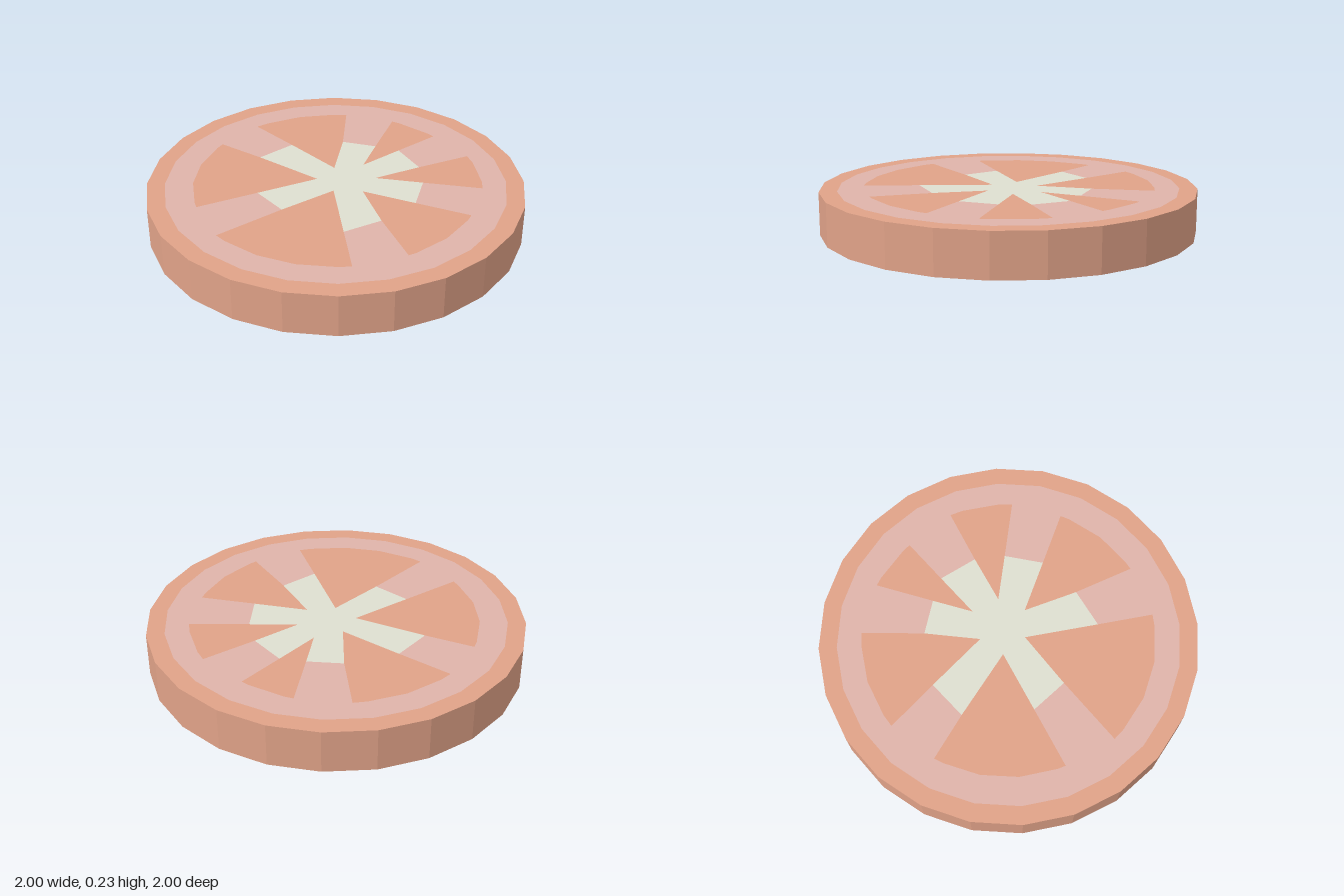
import * as THREE from 'three';

const HEIGHT = 0.23, SIDES = 24, STEP = (Math.PI * 2) / SIDES;

// Seed pockets in order around the slice, as (x, z) points:
// tip, where the core meets side one, outer corners, where the core meets side two
const POCKETS = [
  { tip: [0.16, 0.055], coreA: [0.45, 0.1], a: [0.745, 0.145], b: [0.505, 0.57], coreB: [0.315, 0.305] },
  { tip: [0.01, 0.085], coreA: [0.155, 0.45], a: [0.265, 0.725], b: [-0.445, 0.635], coreB: [-0.2, 0.33] },
  { tip: [-0.105, -0.01], coreA: [-0.37, 0.205], a: [-0.63, 0.415], b: [-0.72, -0.245], coreB: [-0.47, -0.155] },
  { tip: [-0.045, -0.145], coreA: [-0.34, -0.335], a: [-0.595, -0.495], b: [-0.13, -0.765], coreB: [-0.07, -0.44] },
  { tip: [0.1, -0.215], coreA: [0.12, -0.435], a: [0.15, -0.75], b: [0.415, -0.63], coreB: [0.255, -0.42] },
  { tip: [0.195, -0.095], coreA: [0.4, -0.265], a: [0.635, -0.45], b: [0.765, -0.13], coreB: [0.45, -0.11] },
];

const toVectors = (pts) => pts.map(([x, z]) => new THREE.Vector2(x, z));

function circle(r) {
  return toVectors(Array.from({ length: SIDES }, (_, i) => [r * Math.cos(i * STEP), r * Math.sin(i * STEP)]));
}

// Rounded outer edge of a pocket, with corners on the slice's own facet angles
function outerEdge({ a, b }) {
  const angle = ([x, z]) => (Math.atan2(z, x) + Math.PI * 2) % (Math.PI * 2);
  const start = angle(a), end = angle(b);
  const ra = Math.hypot(...a), rb = Math.hypot(...b);
  const pts = [a];
  for (let i = Math.ceil(start / STEP); i * STEP < end; i++) {
    const t = i * STEP;
    if (t - start < 0.03 || end - t < 0.03) continue;
    const r = THREE.MathUtils.lerp(ra, rb, (t - start) / (end - start));
    pts.push([r * Math.cos(t), r * Math.sin(t)]);
  }
  return [...pts, b];
}

function shapeFrom(outline, hole) {
  const shape = new THREE.Shape(outline);
  if (hole) shape.holes.push(new THREE.Path(hole));
  return shape;
}

// Flat face: the bottom looks down, the top is the same face turned over
function faceGeometry(shape, isTop) {
  const g = new THREE.ShapeGeometry(shape);
  g.rotateX(Math.PI / 2);
  if (isTop) {
    g.index.array.reverse();
    g.translate(0, HEIGHT, 0);
    g.computeVertexNormals();
  }
  return g;
}

export function createModel() {
  const model = new THREE.Group();
  model.name = 'tomatoSlice';
  const material = (color) => new THREE.MeshStandardMaterial({ color, flatShading: true });
  const skin = material(0xe0a288), flesh = material(0xdfb3aa), core = material(0xdedfd0);

  const add = (parent, name, geometry, mat) => {
    const mesh = new THREE.Mesh(geometry, mat);
    mesh.name = name;
    parent.add(mesh);
  };

  // Skin around the side
  const side = new THREE.CylinderGeometry(1, 1, HEIGHT, SIDES, 1, true);
  side.translate(0, HEIGHT / 2, 0);
  add(model, 'skinSide', side, skin);

  // Outlines that tile each cut face without overlapping
  const inner = circle(0.905);
  const rimShape = shapeFrom(circle(1), inner);
  const star = toVectors(POCKETS.flatMap((p) => [p.coreA, ...outerEdge(p), p.coreB]));
  const fleshShape = shapeFrom(inner, star);
  const coreShape = shapeFrom(toVectors(POCKETS.flatMap((p) => [p.coreA, p.tip, p.coreB])));
  const pocketShapes = POCKETS.map((p) => shapeFrom(toVectors([p.tip, p.coreA, ...outerEdge(p), p.coreB])));

  // The same cut pattern on the top and the bottom
  for (const isTop of [true, false]) {
    const face = new THREE.Group();
    face.name = isTop ? 'topFace' : 'bottomFace';
    add(face, 'skinRim', faceGeometry(rimShape, isTop), skin);
    add(face, 'flesh', faceGeometry(fleshShape, isTop), flesh);
    add(face, 'core', faceGeometry(coreShape, isTop), core);
    pocketShapes.forEach((s, i) => add(face, `seedPocket${i + 1}`, faceGeometry(s, isTop), skin));
    model.add(face);
  }
  return model;
}
